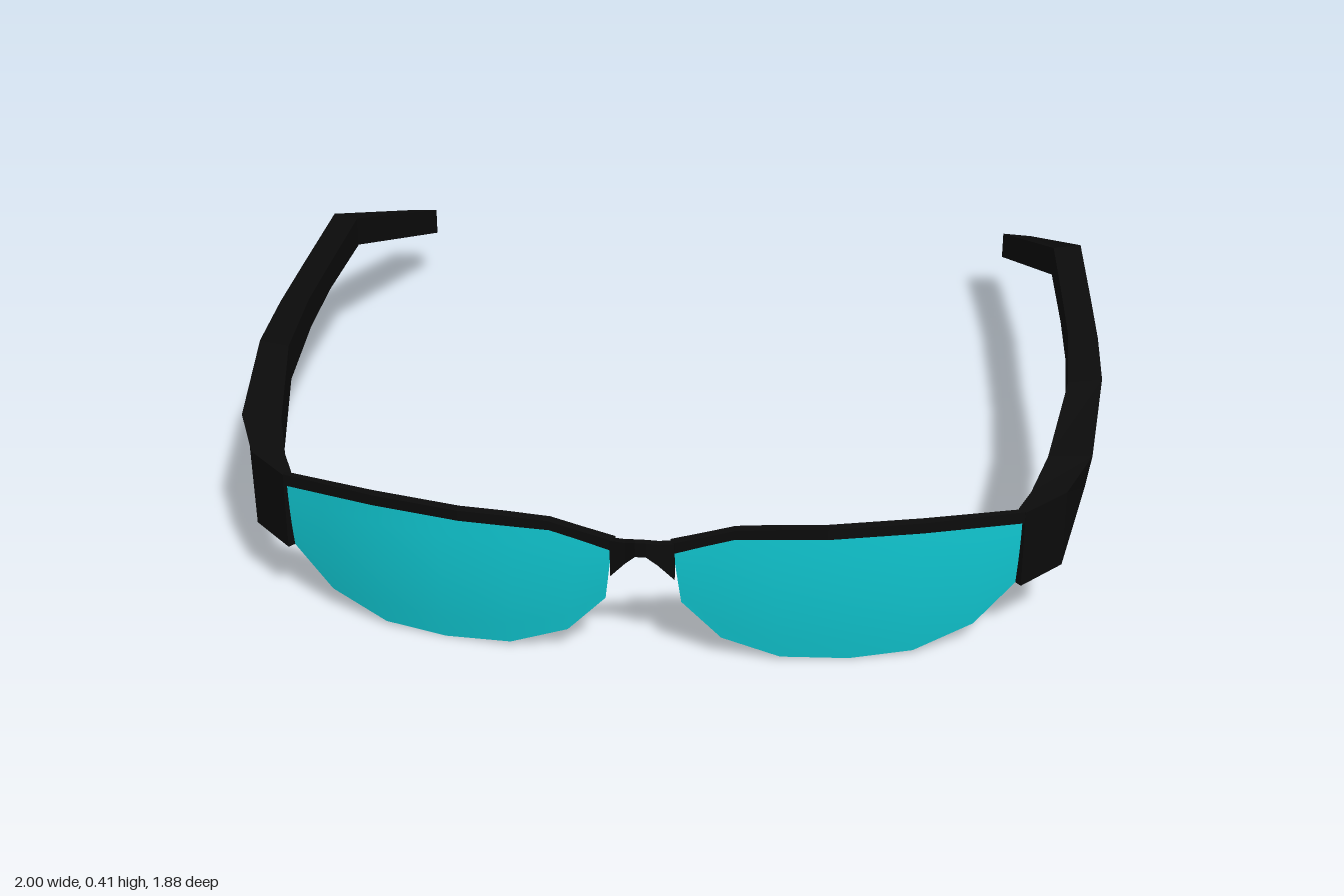
import * as THREE from 'three';

const black = new THREE.MeshStandardMaterial({ color: 0x0b0b0b });
black.flatShading = true;
const tint = new THREE.MeshStandardMaterial({ color: 0x10c8d2, side: THREE.DoubleSide });

// Wrap of the front: [x, z] along one half
const wrap = [[0.06, 0.9], [0.3, 0.905], [0.4, 0.895], [0.6, 0.848], [0.82, 0.742]];
function wrapZ(x) {
  let i = 0;
  while (i < wrap.length - 2 && x > wrap[i + 1][0]) i++;
  const [x0, z0] = wrap[i], [x1, z1] = wrap[i + 1];
  return z0 + (z1 - z0) * (x - x0) / (x1 - x0);
}

// Geometry from points and triangles; side -1 mirrors it in x
function build(points, triangles, side) {
  const geo = new THREE.BufferGeometry();
  geo.setAttribute('position', new THREE.Float32BufferAttribute(
    points.flatMap(([x, y, z]) => [x * side, y, z]), 3));
  geo.setIndex(triangles.flatMap(([a, b, c]) => (side < 0 ? [a, c, b] : [a, b, c])));
  return geo;
}

// Closed bar through four-cornered cross-sections
function loft(sections, side = 1) {
  const tris = [];
  for (let i = 0; i < sections.length - 1; i++) {
    for (let j = 0; j < 4; j++) {
      const a = i * 4 + j, b = i * 4 + (j + 1) % 4;
      tris.push([a, b, b + 4], [a, b + 4, a + 4]);
    }
  }
  const e = (sections.length - 1) * 4;
  tris.push([0, 2, 1], [0, 3, 2], [e, e + 1, e + 2], [e, e + 2, e + 3]);
  const geo = build(sections.flat(), tris, side).toNonIndexed();
  geo.computeVertexNormals();
  return geo;
}

// Upright cross-section of the front frame
const slab = (x, top, bottom, z, depth = 0.02) => [
  [x, bottom, z - depth], [x, top, z - depth], [x, top, z], [x, bottom, z],
];

// Brow bar above a lens: [x, top, bottom]
function browBar(side) {
  const stations = [
    [0.06, 0.307, 0.28], [0.13, 0.328, 0.305], [0.2, 0.35, 0.328], [0.3, 0.36, 0.335],
    [0.4, 0.36, 0.335], [0.6, 0.36, 0.335], [0.82, 0.338, 0.31],
  ];
  return loft(stations.map(([x, t, b]) => slab(x, t, b, wrapZ(x) + 0.004, x > 0.8 ? 0.014 : 0.022)), side);
}

// Nose bridge, deepening towards the lenses
function bridge() {
  const half = [[0.07, 0.308, 0.218, 0.905], [0.035, 0.314, 0.262, 0.92], [0.012, 0.323, 0.288, 0.933]];
  const left = half.map(([x, t, b, z]) => slab(x, t, b, z, 0.016));
  const right = half.map(([x, t, b, z]) => slab(-x, t, b, z, 0.016));
  return loft([...right, ...left.reverse()]);
}

// Lens: columns from the top edge to the bottom edge, curling back below
function lens(side) {
  const top = [[0.066, 0.29], [0.14, 0.315], [0.28, 0.337], [0.45, 0.338], [0.6, 0.338], [0.73, 0.325], [0.82, 0.315]];
  const low = [[0.083, 0.15], [0.17, 0.055], [0.3, 0.01], [0.45, 0], [0.59, 0.01], [0.72, 0.055], [0.808, 0.15]];
  const rows = 6, points = [], tris = [];
  top.forEach(([tx, ty], i) => {
    for (let r = 0; r <= rows; r++) {
      const t = r / rows;
      const x = tx + (low[i][0] - tx) * t, y = ty + (low[i][1] - ty) * t;
      points.push([x, y, wrapZ(x) - 0.004 - 0.034 * ((0.338 - y) / 0.338) ** 2]);
      if (i && r) {
        const d = i * (rows + 1) + r, c = d - rows - 1;
        tris.push([c - 1, c, d], [c - 1, d, d - 1]);
      }
    }
  });
  const geo = build(points, tris, side);
  geo.computeVertexNormals();
  return geo;
}

// Temple arm: [outer x, outer z, inner x, inner z, top, bottom]
function temple(side) {
  const stations = [
    [0.82, 0.747, 0.805, 0.73, 0.337, 0.15],
    [0.91, 0.665, 0.832, 0.67, 0.345, 0.16],
    [0.97, 0.51, 0.87, 0.54, 0.362, 0.27],
    [1, 0.2, 0.92, 0.24, 0.393, 0.303],
    [0.997, 0, 0.925, 0, 0.397, 0.32],
    [0.987, -0.2, 0.916, -0.18, 0.4, 0.335],
    [0.97, -0.505, 0.9, -0.46, 0.405, 0.33],
    [0.86, -0.945, 0.785, -0.932, 0.22, 0.15],
  ];
  return loft(stations.map(([ox, oz, ix, iz, t, b], i) => [
    [ix, b, iz], [ix, t, iz], [ox, t - (i > 1 ? 0.01 : 0), oz], [ox - (i > 1 ? 0.012 : 0), b, oz],
  ]), side);
}

export function createModel() {
  const model = new THREE.Group();
  model.name = 'glasses';
  const add = (name, geometry, material) => {
    const mesh = new THREE.Mesh(geometry, material);
    mesh.name = name;
    model.add(mesh);
  };
  add('noseBridge', bridge(), black);
  for (const [label, side] of [['left', 1], ['right', -1]]) {
    add(label + 'BrowBar', browBar(side), black);
    add(label + 'Lens', lens(side), tint);
    add(label + 'Temple', temple(side), black);
  }
  return model;
}
